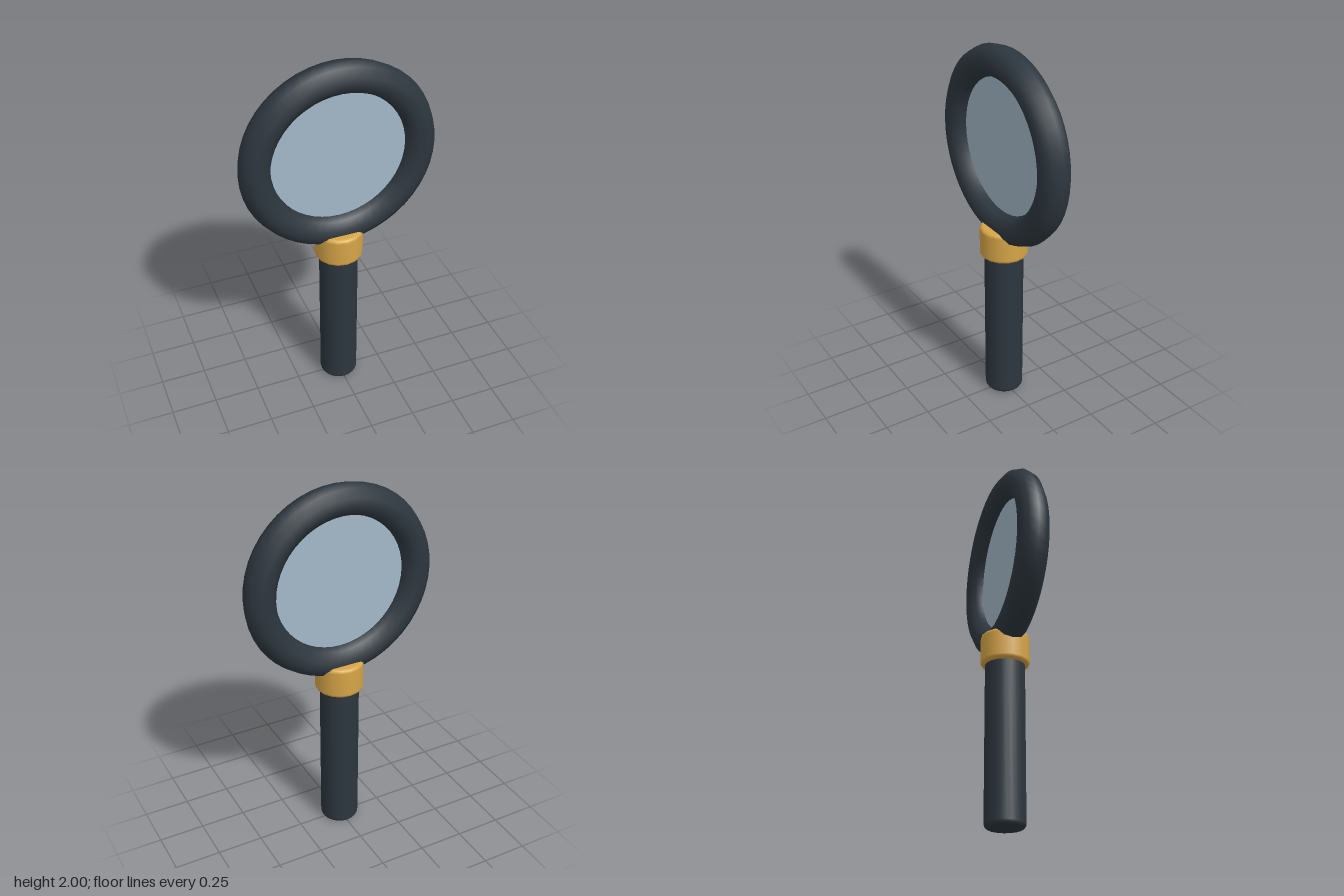
import * as THREE from 'three';

const mat = (name, color) => {
  const m = new THREE.MeshStandardMaterial({ color });
  m.name = name;
  return m;
};

// Closed upright cylinder with rounded rims, smooth around the side
function roundedCylinder(radius, y0, y1, bevel, sides) {
  const pts = [new THREE.Vector2(0, y0), new THREE.Vector2(radius - bevel, y0)];
  const steps = 4;
  for (let i = 0; i <= steps; i++) {
    const a = (i / steps) * Math.PI / 2;
    pts.push(new THREE.Vector2(radius - bevel + bevel * Math.sin(a), y0 + bevel - bevel * Math.cos(a)));
  }
  for (let i = 0; i <= steps; i++) {
    const a = (i / steps) * Math.PI / 2;
    pts.push(new THREE.Vector2(radius - bevel + bevel * Math.cos(a), y1 - bevel + bevel * Math.sin(a)));
  }
  pts.push(new THREE.Vector2(0, y1));
  // drop repeated points so that every segment has length
  const profile = pts.filter((p, i) => i === 0 || p.distanceTo(pts[i - 1]) > 1e-5);
  return new THREE.LatheGeometry(profile, sides);
}

export function createModel() {
  const group = new THREE.Group();
  const dark = mat('dark slate', 0x2d363e);
  const gold = mat('brass', 0xd6a548);
  const glass = mat('pale blue glass', 0xa3b8c8);

  const add = (name, geometry, material, y = 0) => {
    const mesh = new THREE.Mesh(geometry, material);
    mesh.name = name;
    mesh.position.y = y;
    group.add(mesh);
    return mesh;
  };

  const ringY = 1.477;

  // Grip and the collar that holds the ring
  add('handle', roundedCylinder(0.105, 0, 0.92, 0.025, 24), dark);
  add('collar', roundedCylinder(0.13, 0.86, 1.03, 0.02, 16), gold);

  // Ring frame around the lens
  add('ringFrame', new THREE.TorusGeometry(0.44, 0.083, 10, 48), dark, ringY);

  // Thin lens disc, facing front and back
  const lens = add('lens', new THREE.CylinderGeometry(0.39, 0.39, 0.02, 48), glass, ringY);
  lens.rotation.x = Math.PI / 2;

  return group;
}
